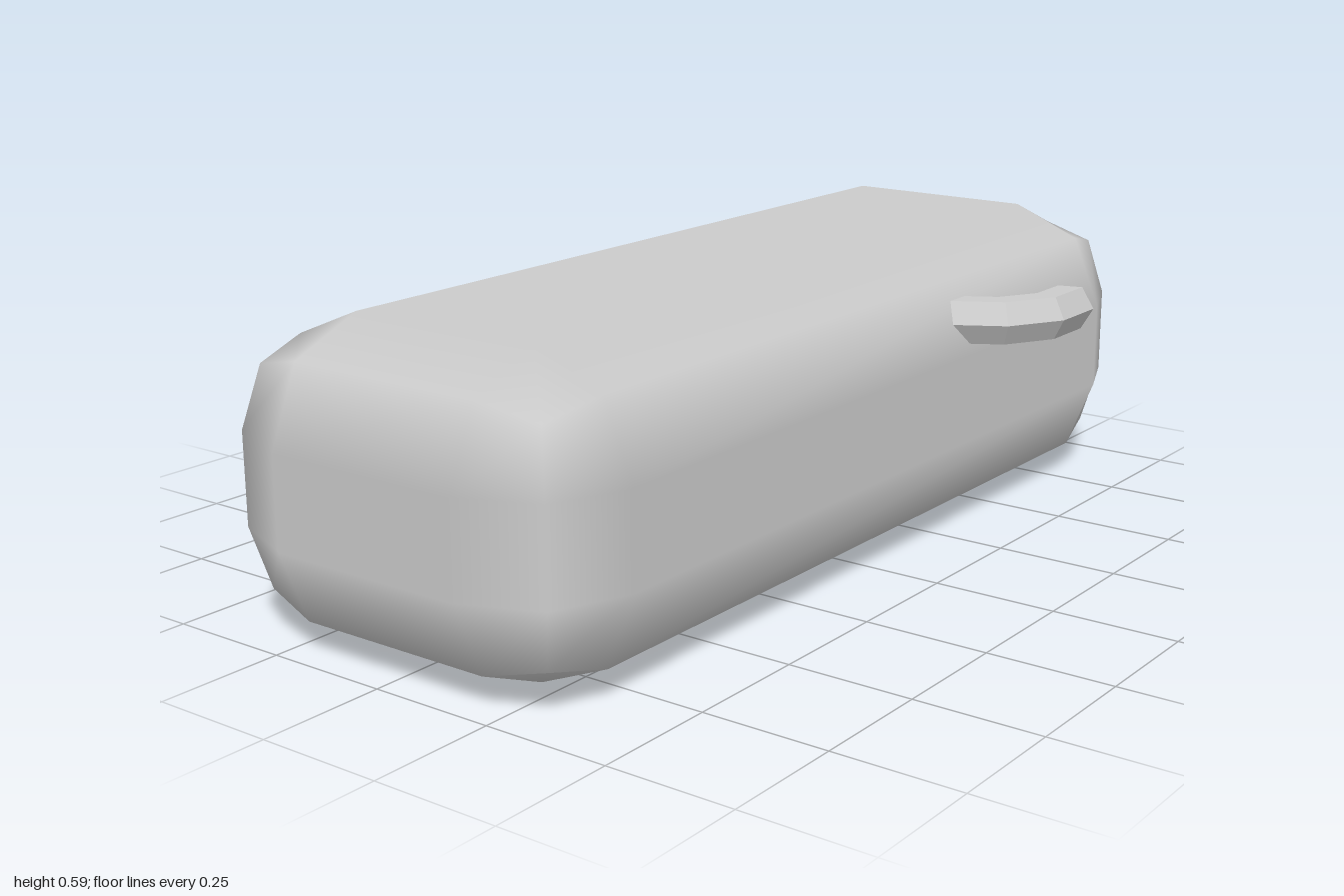
import * as THREE from 'three';
import { RoundedBoxGeometry } from 'three/addons/geometries/RoundedBoxGeometry.js';

export function createModel() {
  const model = new THREE.Group();
  const smooth = new THREE.MeshStandardMaterial({ color: 0xcccccc });
  const faceted = new THREE.MeshStandardMaterial({ color: 0xcccccc, flatShading: true });

  // Long body with one-step rounded edges; the coarse rounding falls 0.095 r short of the full size
  const r = 0.207;
  const grow = 2 * 0.095 * r;
  const body = new THREE.Mesh(
    new RoundedBoxGeometry(2 + grow, 0.553 + grow, 0.786 + grow, 1, r), smooth);
  body.name = 'body';
  body.position.y = 0.2775;
  model.add(body);

  // Curved six-sided hook on each side, rooted in the body and bending towards +x
  const R = 0.2, tube = 0.05, bevel = 0.008;
  const arcGeometry = new THREE.TorusGeometry(R, tube, 6, 3, Math.PI / 2);
  const tipGeometry = new THREE.CylinderGeometry(0.042, tube, bevel, 6)
    .rotateY(Math.PI / 2).rotateX(Math.PI).translate(R, -bevel / 2, 0);

  for (const side of [1, -1]) {
    const hook = new THREE.Group();
    hook.name = side > 0 ? 'frontHook' : 'backHook';
    const arc = new THREE.Mesh(arcGeometry, faceted);
    arc.name = 'hookArc';
    const tip = new THREE.Mesh(tipGeometry, faceted);
    tip.name = 'hookTip';
    hook.add(arc, tip);
    hook.rotation.set(side * Math.PI / 2, 0, THREE.MathUtils.degToRad(75));
    hook.position.set(0.462, 0.432, side * 0.303);
    model.add(hook);
  }
  return model;
}
